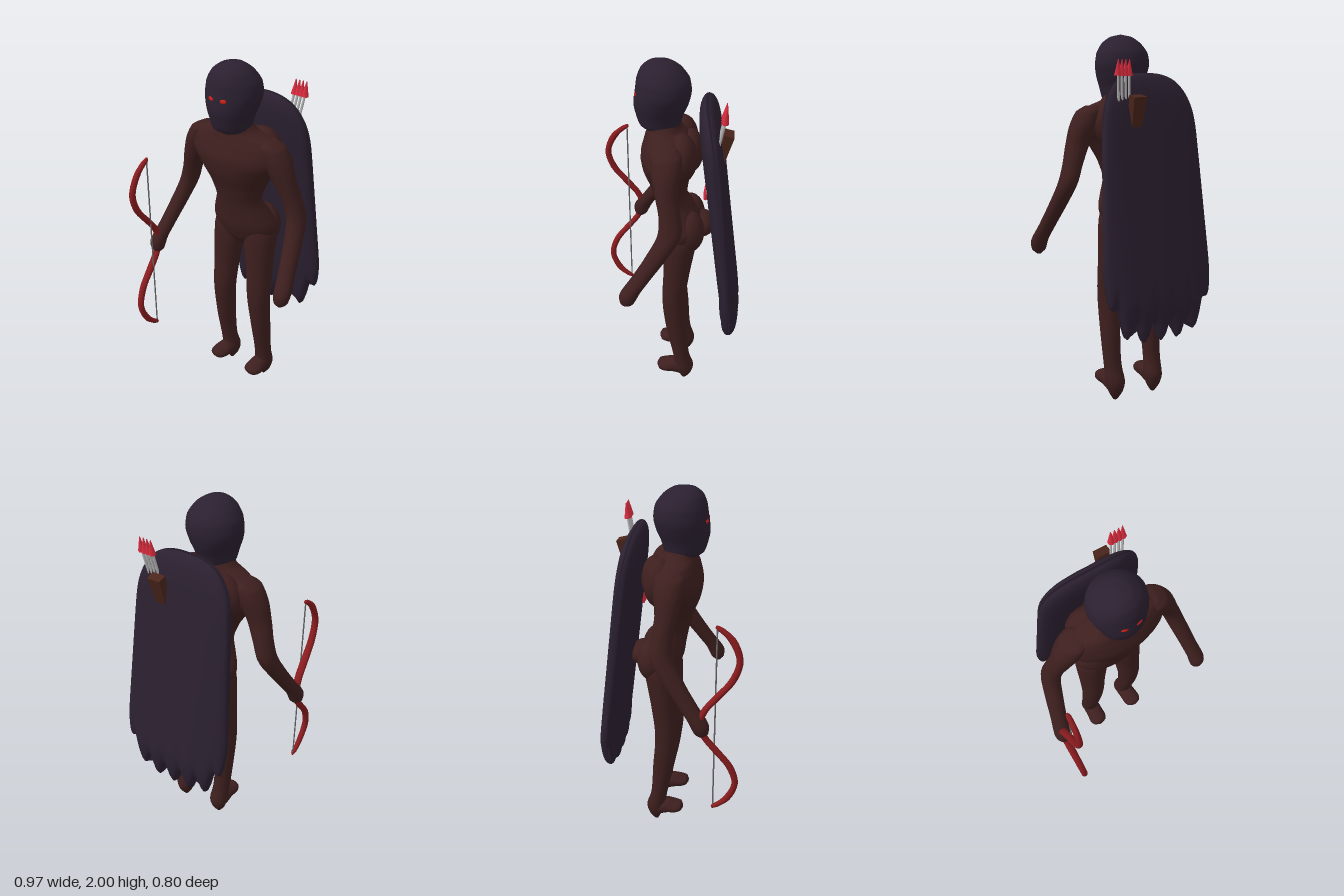
import * as THREE from 'three';

const mat = (name, color) => Object.assign(new THREE.MeshStandardMaterial({ color }), { name });

// Closed skin over rows x cols; fn(t, angle) gives a point, t runs upwards
function skin(rows, cols, fn) {
  const pos = [], idx = [];
  const row = t => {
    const mid = [0, 0, 0];
    for (let j = 0; j < cols; j++) {
      const p = fn(t, (j / cols) * Math.PI * 2);
      pos.push(...p);
      p.forEach((v, k) => { mid[k] += v / cols; });
    }
    return mid;
  };
  let first, last;
  for (let i = 0; i <= rows; i++) {
    last = row(i / rows);
    if (i === 0) first = last;
  }
  const n = (rows + 1) * cols;
  pos.push(...first, ...last);
  for (let j = 0; j < cols; j++) {
    const k = (j + 1) % cols;
    for (let i = 0; i < rows; i++) {
      const a = i * cols + j, b = i * cols + k;
      idx.push(a, a + cols, b, b, a + cols, b + cols);
    }
    idx.push(n, j, k, n + 1, rows * cols + k, rows * cols + j);
  }
  const g = new THREE.BufferGeometry();
  g.setAttribute('position', new THREE.Float32BufferAttribute(pos, 3));
  g.setIndex(idx);
  g.computeVertexNormals();
  return g;
}

// Smooth loft through level ellipses [x, y, z, rx, rz], listed from the bottom up
function loft(rings, s = 1) {
  const path = new THREE.CatmullRomCurve3(rings.map(r => new THREE.Vector3(r[0] * s, r[1], r[2])));
  const size = new THREE.CatmullRomCurve3(rings.map(r => new THREE.Vector3(r[3], r[4], 0)));
  return skin((rings.length - 1) * 5, 28, (t, a) => {
    const c = path.getPoint(t), r = size.getPoint(t);
    return [c.x + r.x * Math.cos(a), c.y, c.z + r.y * Math.sin(a)];
  });
}

export function createModel() {
  const model = new THREE.Group();
  model.name = 'hoodedArcher';
  const skinMat = mat('darkBrown', 0x3d1f1e), cloth = mat('darkPurple', 0x2b2030);
  const red = mat('bowRed', 0x8a1c1f), tipRed = mat('arrowRed', 0xdc2c3e);
  const grey = mat('shaftGrey', 0xb4b4b4), cord = mat('stringGrey', 0x6a6a6a);
  const eyeRed = mat('eyeRed', 0xcc2018), leather = mat('leather', 0x4a251b);

  const add = (name, geo, material) => {
    const m = new THREE.Mesh(geo, material);
    m.name = name;
    model.add(m);
    return m;
  };
  const ball = (name, p, r, material) => {
    const m = add(name, new THREE.SphereGeometry(1, 24, 16), material);
    m.position.set(...p);
    m.scale.set(...r);
    return m;
  };
  const rod = (name, from, to, r0, r1, material, sides = 8) => {
    const a = new THREE.Vector3(...from), d = new THREE.Vector3(...to).sub(a);
    const m = add(name, new THREE.CylinderGeometry(r1, r0, d.length(), sides), material);
    m.position.copy(a).addScaledVector(d, 0.5);
    m.quaternion.setFromUnitVectors(new THREE.Vector3(0, 1, 0), d.normalize());
    return m;
  };

  // Torso and neck
  add('torso', loft([
    [0, 0.935, -0.05, 0.06, 0.04], [0, 0.99, -0.055, 0.165, 0.085], [0, 1.08, -0.06, 0.202, 0.122],
    [0, 1.15, -0.035, 0.178, 0.107], [0, 1.24, 0, 0.142, 0.09], [0, 1.33, 0.01, 0.168, 0.105],
    [0, 1.42, 0.015, 0.222, 0.133], [0, 1.51, 0.015, 0.28, 0.142], [0, 1.58, 0.015, 0.265, 0.125],
    [0, 1.62, 0.022, 0.215, 0.105], [0, 1.65, 0.035, 0.13, 0.088], [0, 1.69, 0.045, 0.095, 0.085],
    [0, 1.73, 0.045, 0.09, 0.08],
  ]), skinMat);

  // Hooded head
  add('head', loft([
    [0, 1.64, 0.055, 0.08, 0.07], [0, 1.665, 0.057, 0.102, 0.105], [0, 1.72, 0.058, 0.115, 0.122],
    [0, 1.78, 0.05, 0.136, 0.14], [0, 1.84, 0.04, 0.15, 0.142], [0, 1.9, 0.04, 0.142, 0.134],
    [0, 1.955, 0.05, 0.106, 0.104], [0, 1.988, 0.055, 0.058, 0.062], [0, 2, 0.058, 0.008, 0.01],
  ]), cloth);

  for (const s of [1, -1]) {
    const side = s > 0 ? 'left' : 'right';
    add(side + 'Arm', loft([
      [0.437, 0.815, 0.21, 0.012, 0.015], [0.438, 0.84, 0.207, 0.038, 0.038],
      [0.438, 0.89, 0.195, 0.045, 0.05], [0.42, 0.98, 0.135, 0.044, 0.05],
      [0.395, 1.1, 0.055, 0.047, 0.055], [0.368, 1.22, -0.01, 0.05, 0.06],
      [0.34, 1.31, -0.01, 0.053, 0.056], [0.298, 1.42, 0.008, 0.065, 0.06],
      [0.25, 1.53, 0.012, 0.078, 0.078], [0.222, 1.59, 0.014, 0.07, 0.076],
      [0.2, 1.622, 0.016, 0.035, 0.045],
    ], s), skinMat);
    add(side + 'Leg', loft([
      [0.125, 0.005, -0.085, 0.012, 0.012], [0.125, 0.05, -0.09, 0.04, 0.037],
      [0.125, 0.11, -0.085, 0.054, 0.055], [0.13, 0.2, -0.067, 0.05, 0.047],
      [0.13, 0.4, -0.04, 0.055, 0.06], [0.124, 0.6, -0.022, 0.066, 0.065],
      [0.116, 0.78, -0.035, 0.076, 0.072], [0.108, 0.92, -0.047, 0.088, 0.084],
      [0.104, 1.01, -0.056, 0.092, 0.09], [0.095, 1.1, -0.055, 0.075, 0.075],
    ], s), skinMat);
    // Foot is lofted upright and then laid forwards
    add(side + 'Foot', loft([
      [0.125, -0.12, -0.1, 0.025, 0.025], [0.125, -0.08, -0.095, 0.05, 0.055],
      [0.127, -0.02, -0.108, 0.052, 0.046], [0.13, 0.03, -0.108, 0.054, 0.034],
      [0.13, 0.06, -0.11, 0.042, 0.027], [0.13, 0.074, -0.11, 0.012, 0.01],
    ], s).rotateX(Math.PI / 2), skinMat);
    ball(side + 'Buttock', [s * 0.09, 1.06, -0.1], [0.105, 0.12, 0.085], skinMat);
    ball(side + 'ShoulderBlade', [s * 0.11, 1.52, -0.055], [0.12, 0.13, 0.085], skinMat);
    const eye = ball(side + 'Eye', [s * 0.038, 1.832, 0.176], [0.018, 0.011, 0.006], eyeRed);
    eye.rotation.set(0, s * 0.22, s * 0.12);
  }
  // Joins between the back and the cape
  ball('lowerCapeJoin', [0, 1.06, -0.17], [0.1, 0.065, 0.07], skinMat);
  ball('upperCapeJoin', [0, 1.51, -0.1], [0.13, 0.11, 0.07], skinMat);

  // Padded cape with a rounded top and a ragged hem
  add('cape', skin(36, 120, (k, a) => {
    const t = 0.5 - 0.5 * Math.cos(Math.PI * k), u = Math.cos(a), v = Math.sin(a);
    const w = 0.333 - 0.05 * t, x = u * w;
    const arch = Math.sqrt(Math.max(0, 1 - Math.abs(u) ** 3));
    const hemArch = Math.sqrt(Math.max(0, 1 - u ** 4));
    const top = 1.5 + 0.29 * arch;
    const hem = 0.8 - 0.41 * hemArch + 0.11 * Math.abs(Math.sin((Math.PI * x) / 0.107)) ** 2.4;
    const y = hem + (top - hem) * t;
    const thick = 0.058 * Math.sqrt(Math.max(0, 1 - Math.abs(2 * t - 1) ** 10));
    const z = -0.193 - (1.7 - Math.max(y, 0.6)) * 0.131 - 0.02 * u * u * t;
    return [x, y, z + thick * Math.sign(v) * Math.abs(v) ** 0.65];
  }), cloth);

  // Four-sided quiver sunk in the cape
  const quiver = rod('quiver', [0.1, 1.36, -0.215], [0.115, 1.67, -0.295], 0.025, 0.045, leather, 4);
  quiver.geometry = quiver.geometry.toNonIndexed().rotateY(Math.PI / 4).scale(1.2, 1, 0.8);
  quiver.geometry.computeVertexNormals();
  // Arrows with grey shafts, red heads and tails
  for (let i = 0; i < 4; i++) {
    const x = 0.152 + i * 0.022, low = 0.1 + i * 0.02;
    rod('arrowShaft', [low, 1.34, -0.19], [x, 1.785, -0.27], 0.007, 0.007, grey);
    rod('arrowHead', [x, 1.77, -0.268], [x + 0.002, 1.85, -0.277], 0.019, 0.002, tipRed, 6);
    rod('arrowTail', [low, 1.31, -0.183], [low, 1.36, -0.19], 0.009, 0.009, tipRed, 6);
  }

  // Recurved bow, mirrored above and below the grip: [height from grip, z, rx, rz]
  const half = [
    [0.075, 0.222, 0.021, 0.019], [0.16, 0.285, 0.021, 0.022], [0.26, 0.36, 0.019, 0.02],
    [0.37, 0.39, 0.018, 0.017], [0.48, 0.345, 0.016, 0.022], [0.53, 0.29, 0.014, 0.022],
    [0.545, 0.275, 0.006, 0.008],
  ];
  const limb = s => half.map(([d, z, rx, rz]) => [-0.44 + 0.025 * Math.min(1, d / 0.5), 0.893 + s * d, z, rx, rz]);
  add('bow', loft([...limb(-1).reverse(), [-0.44, 0.893, 0.2, 0.021, 0.018], ...limb(1)]), red);
  rod('bowString', [-0.415, 0.36, 0.275], [-0.415, 1.43, 0.275], 0.004, 0.004, cord);

  return model;
}
